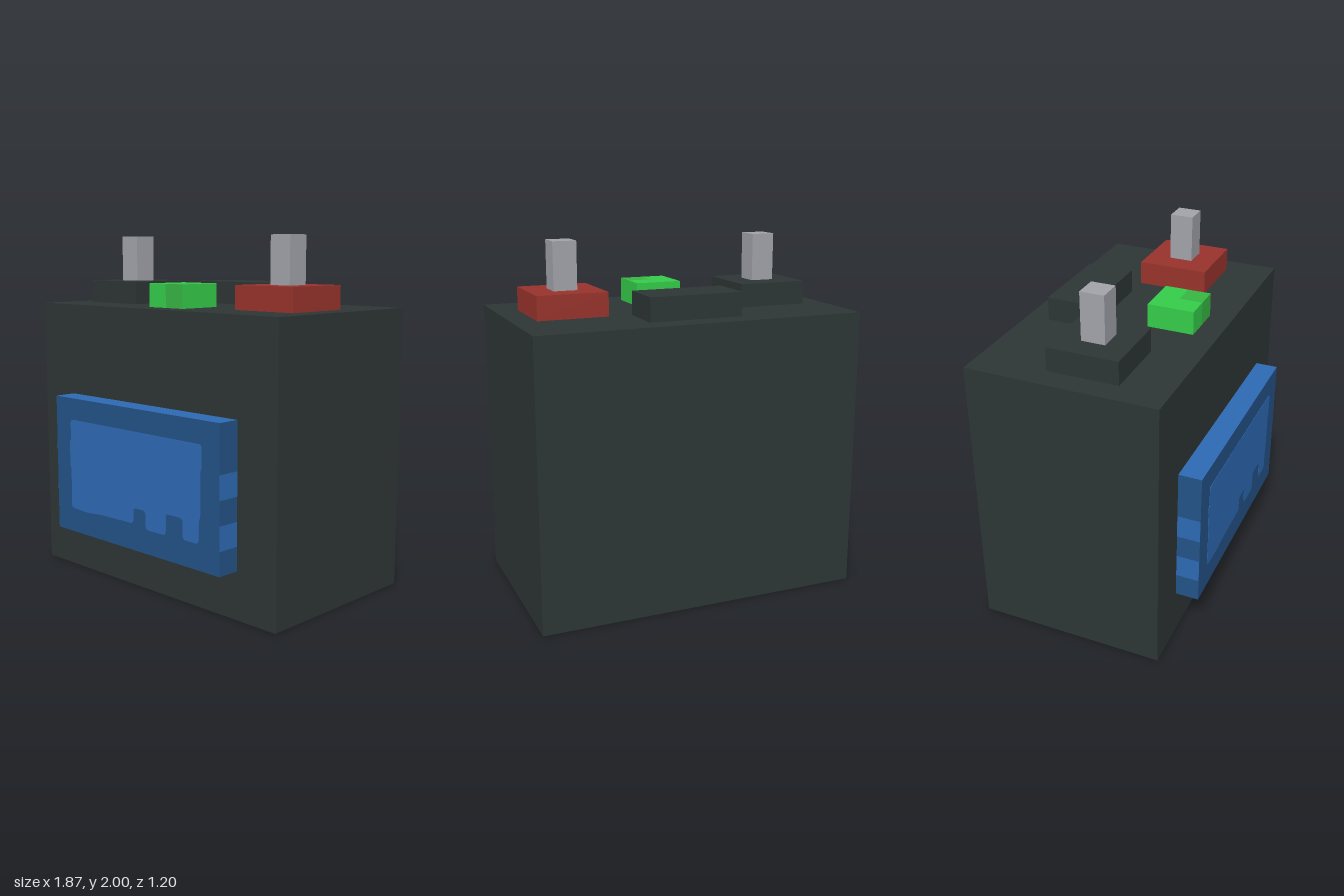
import * as THREE from 'three';

const mat = (name, color) => {
  const m = new THREE.MeshStandardMaterial({ color });
  m.name = name;
  return m;
};

export function createModel() {
  const group = new THREE.Group();
  group.name = 'battery';

  const casing = mat('charcoal', 0x2d3535);
  const red = mat('red', 0x98322b);
  const metal = mat('grey metal', 0xa0a2a9);
  const green = mat('bright green', 0x34cb49);
  const greenDark = mat('deep green', 0x36b543);
  const blue = mat('light blue', 0x2d69b3);
  const blueDark = mat('dark blue', 0x235286);

  // Box given by its extents along each axis
  const box = (name, material, [x0, x1], [y0, y1], [z0, z1]) => {
    const mesh = new THREE.Mesh(new THREE.BoxGeometry(x1 - x0, y1 - y0, z1 - z0), material);
    mesh.position.set((x0 + x1) / 2, (y0 + y1) / 2, (z0 + z1) / 2);
    mesh.name = name;
    group.add(mesh);
    return mesh;
  };

  // Casing and the raised vent block at the back of the lid
  const lid = [1.6, 1.733];
  box('casing', casing, [-0.933, 0.933], [0, 1.6], [-0.6, 0.467]);
  box('ventBlock', casing, [-0.267, 0.267], lid, [-0.467, -0.2]);

  // Terminals: square base with a metal post
  for (const [side, x, base] of [['right', -0.6, casing], ['left', 0.6, red]]) {
    box(side + 'TerminalBase', base, [x - 0.2, x + 0.2], lid, [-0.2, 0.2]);
    box(side + 'TerminalPost', metal, [x - 0.067, x + 0.067], [1.733, 2], [-0.067, 0.067]);
  }

  // Indicator lamp with one darker quarter
  box('lampRightHalf', green, [-0.133, 0], lid, [0.067, 0.333]);
  box('lampBackQuarter', green, [0, 0.133], lid, [0.067, 0.2]);
  box('lampFrontQuarter', [green, green, greenDark, green, greenDark, green],
    [0, 0.133], lid, [0.2, 0.333]);

  // Label panel: dark front and ends, light top and underside
  box('labelPanel', [blueDark, blueDark, blue, blue, blueDark, blueDark],
    [-0.667, 0.667], [0.267, 1.067], [0.467, 0.598]);

  // Light bands on the ends of the label
  for (const s of [-1, 1]) {
    for (const y of [0.4, 0.667]) {
      const band = box('labelEndBand', blue, [-0.001, 0.001], [y, y + 0.133], [0.467, 0.598]);
      band.position.x = s * 0.667;
    }
  }

  // Light patch with soft corners and two notches in its lower edge
  const outline = [
    [-0.54, 0.41], [-0.535, 0.65], [-0.545, 0.66], [-0.545, 0.81], [-0.535, 0.82], [-0.535, 0.94],
    [0.54, 0.94], [0.54, 0.81], [0.53, 0.79], [0.53, 0.55], [0.52, 0.53], [0.52, 0.41],
    [0.40, 0.41], [0.40, 0.525], [0.27, 0.525], [0.27, 0.405], [0.11, 0.405], [0.11, 0.51],
    [0.01, 0.51], [0.01, 0.42], [-0.27, 0.415], [-0.38, 0.405],
  ].map(([x, y]) => new THREE.Vector2(x, y));
  const shape = new THREE.Shape();
  outline.forEach((p, i) => {
    const before = outline[(i + outline.length - 1) % outline.length];
    const after = outline[(i + 1) % outline.length];
    const toward = (q) => p.clone().lerp(q, Math.min(0.45, 0.025 / p.distanceTo(q)));
    const a = toward(before);
    const b = toward(after);
    if (i === 0) shape.moveTo(a.x, a.y);
    else shape.lineTo(a.x, a.y);
    shape.quadraticCurveTo(p.x, p.y, b.x, b.y);
  });
  shape.closePath();
  const patch = new THREE.Mesh(
    new THREE.ExtrudeGeometry(shape, { depth: 0.003, bevelEnabled: false, curveSegments: 4 }), blue);
  patch.position.z = 0.597;
  patch.name = 'labelPatch';
  group.add(patch);

  return group;
}
